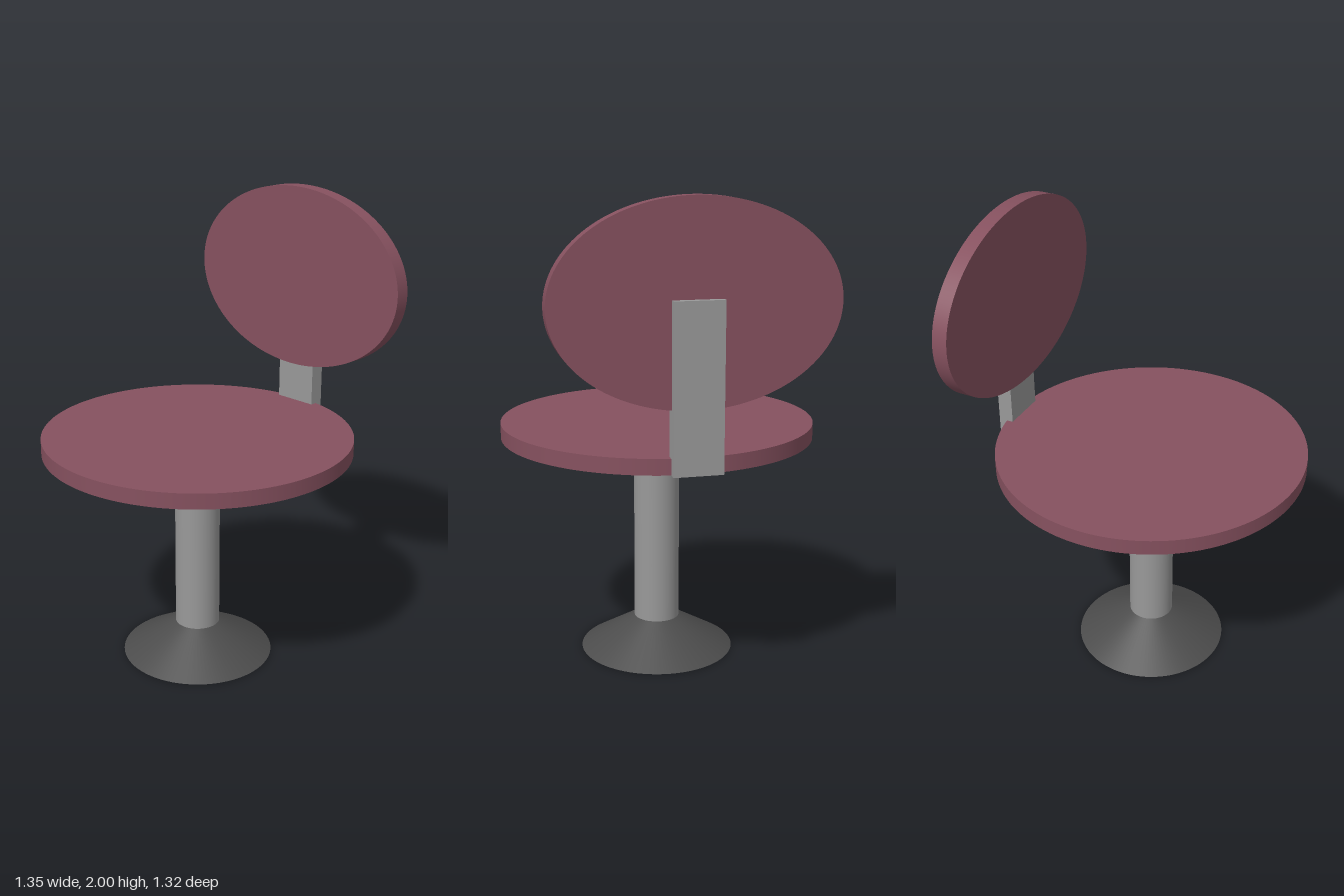
import * as THREE from 'three';

const material = (name, color) => {
  const m = new THREE.MeshStandardMaterial({ color });
  m.name = name;
  return m;
};

export function createModel() {
  const upholstery = material('dusty maroon', 0x86515f);
  const metal = material('grey metal', 0x999999);
  const darkMetal = material('dark grey', 0x4c4c4c);

  const model = new THREE.Group();
  model.name = 'swivelChair';
  const axisX = -0.015; // pedestal axis

  const add = (name, geometry, mat, x, y) => {
    const mesh = new THREE.Mesh(geometry, mat);
    mesh.name = name;
    mesh.position.set(x, y, 0);
    model.add(mesh);
    return mesh;
  };

  // Flared foot, with the column running down through it
  add('base', new THREE.CylinderGeometry(0.097, 0.33, 0.139, 96), darkMetal, axisX, 0.0715);
  add('column', new THREE.CylinderGeometry(0.097, 0.097, 0.965, 64), metal, axisX, 0.4825);

  // Round seat
  add('seat', new THREE.CylinderGeometry(0.66, 0.66, 0.065, 128), upholstery, axisX, 0.9975);

  // Oval backrest: a disc turned to face along x
  const back = new THREE.CylinderGeometry(1, 1, 0.065, 128);
  back.rotateZ(-Math.PI / 2);
  back.scale(1, 0.395, 0.562);
  add('backrest', back, upholstery, 0.6125, 1.605);

  // Upright bracket joining seat and backrest
  add('backBracket', new THREE.BoxGeometry(0.065, 0.66, 0.196), metal, 0.6415, 1.295);

  return model;
}
